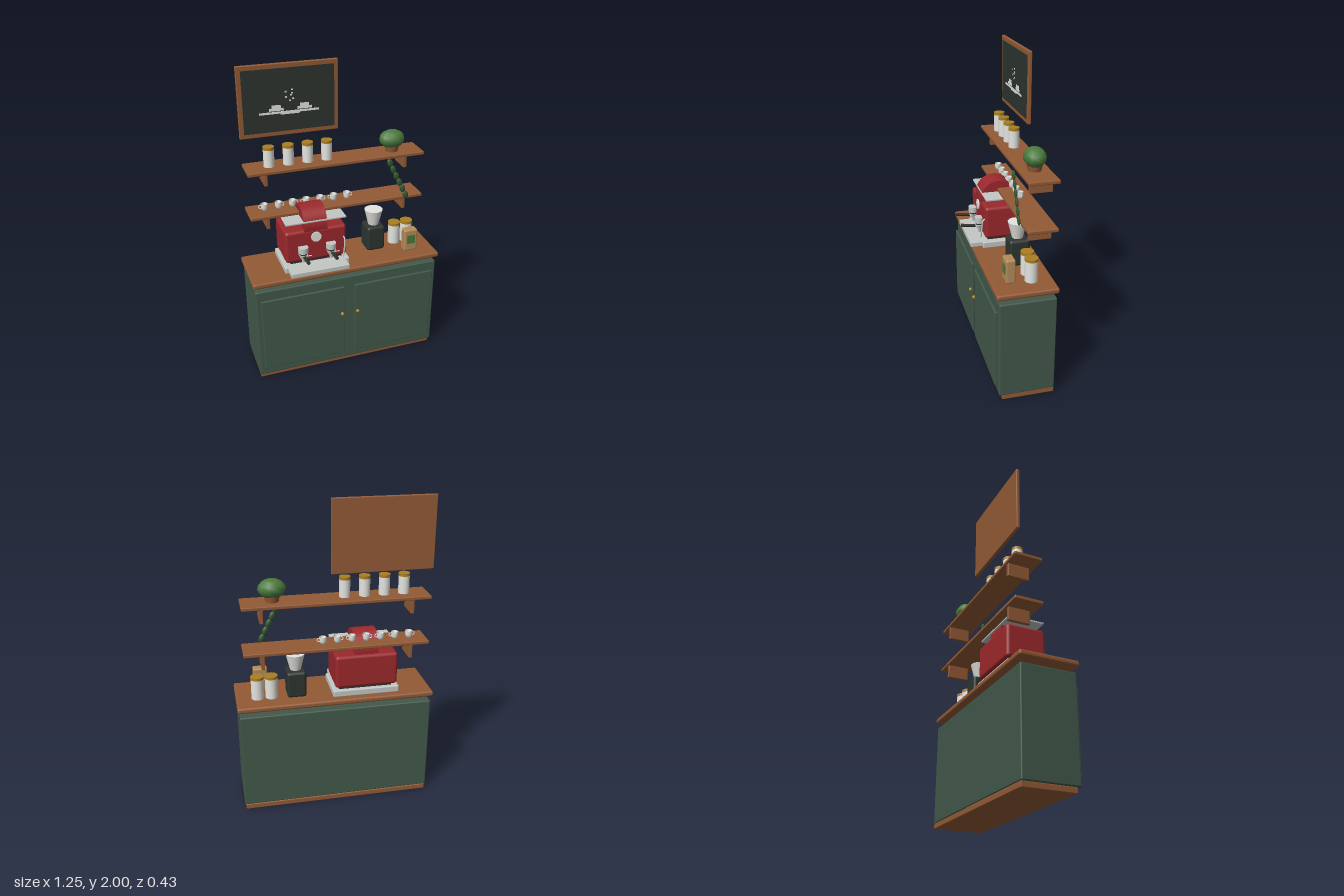
import * as THREE from 'three';
import { RoundedBoxGeometry } from 'three/addons/geometries/RoundedBoxGeometry.js';

const mat = (name, color) => {
  const m = new THREE.MeshStandardMaterial({ color });
  m.name = name;
  return m;
};

export function createModel() {
  const model = new THREE.Group();
  const wood = mat('wood', 0x935a35), green = mat('cabinet green', 0x42584a);
  const red = mat('enamel red', 0x9c282c), white = mat('porcelain white', 0xe4e4e0);
  const silver = mat('silver', 0xc4c7c4), dark = mat('charcoal', 0x2d342f);
  const gold = mat('gold', 0xab7f22), leaf = mat('leaf green', 0x4b7a3d);
  const tan = mat('kraft paper', 0xb58c5a), vineGreen = mat('vine green', 0x35592f);

  const add = (name, geo, material, x = 0, y = 0, z = 0, parent = model) => {
    const mesh = new THREE.Mesh(geo, material);
    mesh.name = name;
    mesh.position.set(x, y, z);
    parent.add(mesh);
    return mesh;
  };
  // Box given by its extents, with slightly softened edges
  const box = (name, m, x0, x1, y0, y1, z0, z1, r = 0.005) => {
    const w = x1 - x0, h = y1 - y0, d = z1 - z0;
    const geo = r ? new RoundedBoxGeometry(w, h, d, 2, r) : new THREE.BoxGeometry(w, h, d);
    return add(name, geo, m, (x0 + x1) / 2, (y0 + y1) / 2, (z0 + z1) / 2);
  };
  // Upright cylinder standing on y0
  const cyl = (name, m, x, y0, z, rBottom, rTop, h, parent = model) =>
    add(name, new THREE.CylinderGeometry(rTop, rBottom, h, 24), m, x, y0 + h / 2, z, parent);

  // Counter cabinet
  box('plinth', wood, -0.605, 0.605, 0, 0.035, -0.205, 0.125);
  box('cabinet', green, -0.612, 0.612, 0.035, 0.675, -0.205, 0.145, 0.008);
  box('countertop', wood, -0.625, 0.625, 0.71, 0.745, -0.215, 0.162, 0.012);
  for (const s of [-1, 1]) {
    const inner = s * 0.035, outer = s * 0.582;
    box('door', green, Math.min(inner, outer), Math.max(inner, outer), 0.095, 0.615, 0.15, 0.167);
    add('doorKnob', new THREE.SphereGeometry(0.012, 16, 12), gold, s * 0.053, 0.415, 0.174);
  }

  // Wall shelves with brackets
  for (const y of [1.08, 1.373]) {
    box('shelf', wood, -0.575, 0.57, y, y + 0.022, -0.213, -0.03);
    for (const x of [-0.46, 0.455])
      box('shelfBracket', wood, x - 0.011, x + 0.011, y - 0.087, y, -0.205, -0.065, 0.003);
  }

  // Chalkboard
  box('boardFrame', wood, -0.58, 0.04, 1.56, 2, -0.2, -0.178);
  box('boardFace', dark, -0.552, 0.014, 1.588, 1.972, -0.182, -0.175, 0);
  const chalk = (x, y, w, h) => box('chalkMark', white, x - w / 2, x + w / 2, y - h / 2, y + h / 2, -0.176, -0.173, 0);
  chalk(-0.27, 1.706, 0.37, 0.013);
  for (const x of [-0.35, -0.175]) {
    chalk(x, 1.743, 0.055, 0.02);
    chalk(x, 1.725, 0.09, 0.016);
  }
  chalk(-0.265, 1.697, 0.12, 0.01);
  for (let i = 0; i < 7; i++)
    chalk(-0.265 + 0.025 * Math.sin(i * 2.2), 1.775 + i * 0.011, 0.013, 0.009);

  // Storage jars
  const jar = (x, y, z, r, h) => {
    const g = new THREE.Group();
    g.name = 'jar';
    g.position.set(x, y, z);
    cyl('jarBody', white, 0, 0, 0, r * 0.96, r * 0.96, h - 0.017, g);
    cyl('jarLid', gold, 0, h - 0.017, 0, r, r, 0.017, g);
    model.add(g);
  };
  for (let i = 0; i < 4; i++) jar(-0.424 + i * 0.1225, 1.395, -0.12, 0.035, 0.127);
  for (const x of [0.4, 0.488]) jar(x, 0.745, -0.08, 0.041, 0.15);

  // Potted plant and trailing vine
  cyl('plantPot', wood, 0.38, 1.395, -0.12, 0.04, 0.048, 0.045);
  add('foliage', new THREE.SphereGeometry(1, 10, 8), leaf, 0.38, 1.474, -0.12).scale.set(0.085, 0.06, 0.067);
  for (let i = 0; i < 6; i++) {
    const l = add('vineLeaf', new THREE.SphereGeometry(1, 8, 6), vineGreen, 0.327 + i * 0.023, 1.355 - i * 0.047, -0.012);
    l.scale.set(0.019, 0.03, 0.01);
    l.rotation.z = 0.35;
  }

  // Cups on the lower shelf
  const cupProfile = [[0, 0], [0.015, 0], [0.021, 0.015], [0.023, 0.043], [0.02, 0.043], [0.017, 0.01], [0, 0.008]]
    .map(([x, y]) => new THREE.Vector2(x, y));
  [-1, 1, 1, -1, 1, -1, 1].forEach((side, i) => {
    const cup = new THREE.Group();
    cup.name = 'cup';
    cup.position.set(-0.468 + i * 0.091, 1.102, -0.125);
    add('cupBody', new THREE.LatheGeometry(cupProfile, 20), white, 0, 0, 0, cup);
    add('cupHandle', new THREE.TorusGeometry(0.011, 0.003, 8, 16), white, side * 0.025, 0.024, 0, cup);
    model.add(cup);
  });

  // Espresso machine: base, body, domed boiler and cup plate
  box('machineBase', silver, -0.405, 0.02, 0.745, 0.79, -0.175, 0.1, 0.008);
  box('dripTray', silver, -0.385, -0.005, 0.752, 0.785, 0.06, 0.176);
  box('machineFoot', dark, -0.36, -0.02, 0.785, 0.815, -0.15, 0.06, 0);
  box('machineBody', red, -0.392, 0.006, 0.805, 1.02, -0.175, 0.08, 0.02);
  const dome = add('boilerDome', new THREE.CylinderGeometry(0.117, 0.117, 0.15, 40), red, -0.195, 1.033, -0.037);
  dome.rotation.z = Math.PI / 2;
  box('cupPlate', silver, -0.385, 0.006, 1.066, 1.078, -0.16, 0.075, 0.003);
  const badge = add('badge', new THREE.CylinderGeometry(0.033, 0.033, 0.01, 28), white, -0.195, 0.97, 0.083);
  badge.rotation.x = Math.PI / 2;

  // Brew groups with portafilters
  for (const x of [-0.285, -0.103]) {
    cyl('groupHead', silver, x, 0.882, 0.097, 0.032, 0.032, 0.037);
    cyl('filterCollar', dark, x, 0.87, 0.097, 0.026, 0.026, 0.012);
    cyl('filterBasket', silver, x, 0.845, 0.097, 0.022, 0.03, 0.025);
    cyl('spout', silver, x, 0.815, 0.097, 0.01, 0.014, 0.03);
    const handle = add('portafilterHandle', new THREE.CylinderGeometry(0.011, 0.009, 0.095, 14), dark, x, 0.865, 0.169);
    handle.rotation.x = Math.PI / 2 - 0.12;
    const lever = add('groupLever', new THREE.CylinderGeometry(0.004, 0.004, 0.035, 10), silver, x + 0.03, 0.865, 0.122);
    lever.rotation.z = Math.PI / 2;
  }

  // Steam wand
  const wandPath = new THREE.CatmullRomCurve3([[-0.015, 0.94, 0.075], [-0.012, 0.93, 0.092], [-0.015, 0.87, 0.1], [-0.025, 0.81, 0.105]]
    .map((p) => new THREE.Vector3(...p)));
  add('steamWand', new THREE.TubeGeometry(wandPath, 20, 0.005, 8), silver);

  // Coffee grinder
  box('grinderBody', dark, 0.182, 0.304, 0.745, 0.917, -0.13, 0, 0.018);
  cyl('grinderHopper', white, 0.243, 0.915, -0.063, 0.034, 0.06, 0.107);

  // Coffee bag with label
  box('coffeeBag', tan, 0.412, 0.503, 0.745, 0.897, 0.018, 0.077, 0.01);
  box('bagLabel', leaf, 0.43, 0.485, 0.8, 0.86, 0.075, 0.081, 0);

  return model;
}
